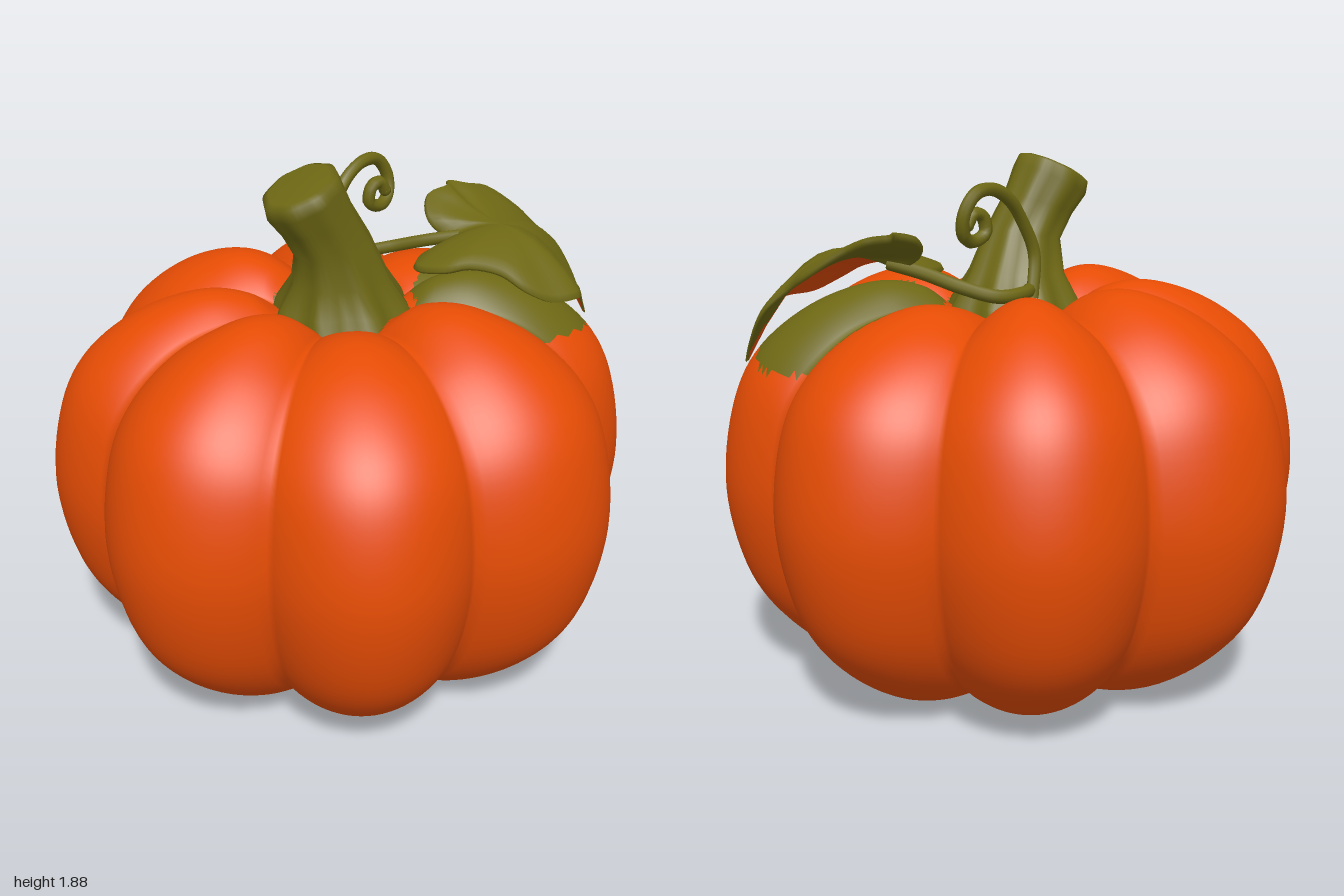
import * as THREE from 'three';

const V = (x, y, z) => new THREE.Vector3(x, y, z);

// Skins closed rings of points (ordered upwards); pick(centroid, ring) gives 0 or 1 as material index.
function loft(rings, pick = () => 0) {
  const n = rings[0].length, faces = [[], []];
  const add = (ring, a, b, c) => {
    const at = k => rings[Math.floor(k / n)][k % n];
    const mid = V(0, 0, 0).add(at(a)).add(at(b)).add(at(c)).divideScalar(3);
    faces[pick(mid, ring)].push(a, b, c);
  };
  for (let i = 0; i < rings.length - 1; i++) {
    for (let j = 0; j < n; j++) {
      const k = (j + 1) % n;
      const a = i * n + j, b = i * n + k, c = a + n, d = b + n;
      add(i, a, c, d);
      add(i, a, d, b);
    }
  }
  const geo = new THREE.BufferGeometry().setFromPoints(rings.flat());
  geo.setIndex([...faces[0], ...faces[1]]);
  geo.addGroup(0, faces[0].length, 0);
  geo.addGroup(faces[0].length, faces[1].length, 1);
  geo.computeVertexNormals();
  return geo;
}

// Ribbed body: the section swings between a ridge profile and a seam profile.
function bodyGeometry() {
  const ridge = [[0, 0.2], [0.1, 0.14], [0.22, 0.04], [0.42, 0], [0.65, 0.06], [0.86, 0.22], [0.99, 0.42], [1.05, 0.72],
    [1.01, 1.02], [0.91, 1.22], [0.72, 1.37], [0.5, 1.445], [0.33, 1.425], [0.2, 1.34], [0, 1.28]];
  const seam = [[0, 0.2], [0.1, 0.17], [0.2, 0.08], [0.38, 0.045], [0.57, 0.1], [0.74, 0.25], [0.85, 0.45], [0.91, 0.72],
    [0.88, 1.0], [0.79, 1.17], [0.63, 1.3], [0.45, 1.35], [0.3, 1.34], [0.18, 1.3], [0, 1.28]];
  const seamAngles = [0, 40, 91, 134, 180, 220, 271, 315, 360];
  const lobeDrop = [0, 0, 0.04, 0.01, 0.02, 0, 0, 0.04];
  const curve = pts => new THREE.SplineCurve(pts.map(p => new THREE.Vector2(...p)));
  const ridgeCurve = curve(ridge), seamCurve = curve(seam);
  const rows = 90, perLobe = 24, rings = [];
  for (let i = 0; i <= rows; i++) {
    const out = ridgeCurve.getPoint(i / rows), inn = seamCurve.getPoint(i / rows);
    rings.push(Array.from({ length: perLobe * 8 }, (_, j) => {
      const lobe = Math.floor(j / perLobe), f = (j % perLobe) / perLobe;
      const t = THREE.MathUtils.degToRad(THREE.MathUtils.lerp(seamAngles[lobe], seamAngles[lobe + 1], f));
      const bulge = Math.sin(Math.PI * f) ** 0.9;
      const p = inn.clone().lerp(out, bulge);
      const y = p.y - lobeDrop[lobe] * bulge * Math.max(0, p.y / 0.72 - 1);
      return V(p.x * Math.cos(t), y, p.x * Math.sin(t));
    }));
  }
  // Green skin around the stem, under the leaf and at the base hollow
  return loft(rings, p => {
    const r = Math.hypot(p.x, p.z), t = Math.atan2(p.z, p.x);
    if (p.y < 0.7) return r < 0.13 ? 1 : 0;
    const underLeaf = ((p.x - 0.56) / 0.34) ** 2 + ((p.z - 0.17) / 0.28) ** 2 < 1;
    return p.y > 1.17 && (underLeaf || r < 0.235 + 0.02 * Math.cos(8 * t)) ? 1 : 0;
  });
}

// Stem: ribbed, flared at the foot and leaning to a tilted cut end
function stemGeometry() {
  const sections = [ // centre x, y, z, radius x, radius z, tilt, rib depth
    [0, 1.26, 0, 0.26, 0.27, 0, 0.08],
    [0, 1.37, 0, 0.225, 0.215, 0, 0.08],
    [-0.02, 1.47, 0.02, 0.172, 0.158, 0.05, 0.05],
    [-0.065, 1.6, 0.05, 0.137, 0.122, 0.2, 0.035],
    [-0.125, 1.7, 0.05, 0.13, 0.12, 0.35, 0.03],
    [-0.175, 1.78, 0.055, 0.14, 0.138, 0.45, 0.025],
    [-0.19, 1.82, 0.055, 0.134, 0.132, 0.45, 0.02],
    [-0.193, 1.83, 0.055, 0.11, 0.11, 0.45, 0.02],
    [-0.193, 1.83, 0.055, 0, 0, 0.45, 0],
  ];
  return loft(sections.map(([x, y, z, rx, rz, tilt, rib]) =>
    Array.from({ length: 48 }, (_, j) => {
      const t = j / 48 * Math.PI * 2, k = 1 + rib * Math.cos(8 * t);
      const u = rx * k * Math.cos(t);
      return V(x + u * Math.cos(tilt), y + u * Math.sin(tilt), z + rz * k * Math.sin(t));
    })));
}

// Leaf: a lobed rim with a drooping tip, domed up to its centre
function leafGeometry() {
  const rim = [[0.44, 1.51, -0.01], [0.41, 1.57, -0.1], [0.46, 1.63, -0.18], [0.54, 1.65, -0.18], [0.58, 1.65, -0.23],
    [0.64, 1.64, -0.19], [0.74, 1.61, -0.2], [0.84, 1.53, -0.13], [0.86, 1.48, -0.03], [0.93, 1.41, 0.01],
    [0.95, 1.3, 0.11], [0.94, 1.2, 0.2], [0.86, 1.3, 0.27], [0.78, 1.36, 0.36], [0.72, 1.38, 0.42], [0.6, 1.39, 0.43],
    [0.5, 1.44, 0.4], [0.44, 1.49, 0.33], [0.35, 1.51, 0.27], [0.27, 1.5, 0.24], [0.22, 1.48, 0.13],
    [0.28, 1.48, 0.05], [0.36, 1.49, 0.02]];
  const edge = new THREE.CatmullRomCurve3(rim.map(p => V(...p)), true).getPoints(92).slice(0, -1);
  const centre = V(0.6, 1.565, 0.1);
  const ring = (s, lift) => edge.map(p => {
    const q = centre.clone().lerp(p, s);
    q.y = THREE.MathUtils.lerp(centre.y, p.y, s * s) + lift;
    return q;
  });
  const steps = [0, 0.2, 0.4, 0.6, 0.8, 0.97];
  const under = steps.map(s => ring(s, -0.014));
  const top = steps.map(s => ring(s, 0.014)).reverse();
  return loft([...under, ring(1, 0), ...top],
    (p, i) => i < 5 && (p.z > 0.15 || p.x < 0.4) ? 1 : 0);
}

function tube(points, radius) {
  const path = new THREE.CatmullRomCurve3(points.map(p => V(...p)));
  return new THREE.TubeGeometry(path, 64, radius, 8);
}

export function createModel() {
  const orange = new THREE.MeshStandardMaterial({ color: 0xe64c04 });
  orange.name = 'orange skin';
  const green = new THREE.MeshStandardMaterial({ color: 0x6d6714 });
  green.name = 'olive green';

  const model = new THREE.Group();
  model.name = 'pumpkin';
  const add = (name, geometry, material) => {
    const mesh = new THREE.Mesh(geometry, material);
    mesh.name = name;
    model.add(mesh);
  };

  add('body', bodyGeometry(), [orange, green]);
  add('stem', stemGeometry(), [green, green]);
  add('leaf', leafGeometry(), [green, orange]);

  // Curling tendril with a rounded tip
  const tip = [0.29, 1.67, -0.2];
  add('tendril', tube([[0.03, 1.4, -0.18], [0, 1.55, -0.14], [0.05, 1.66, -0.15], [0.12, 1.745, -0.18], [0.2, 1.785, -0.21],
    [0.28, 1.775, -0.24], [0.325, 1.71, -0.245], [0.32, 1.645, -0.23], [0.27, 1.615, -0.2],
    [0.215, 1.64, -0.185], [0.225, 1.695, -0.185], [0.265, 1.705, -0.195], tip], 0.023), green);
  const end = new THREE.SphereGeometry(0.023, 10, 8);
  end.translate(...tip);
  add('tendrilTip', end, green);

  // Stalk joining the leaf to the foot of the stem
  add('leafStalk', tube([[0, 1.43, -0.13], [0.09, 1.43, -0.22], [0.2, 1.43, -0.24], [0.3, 1.46, -0.17],
    [0.39, 1.5, -0.07], [0.48, 1.53, 0.02]], 0.024), green);

  return model;
}
